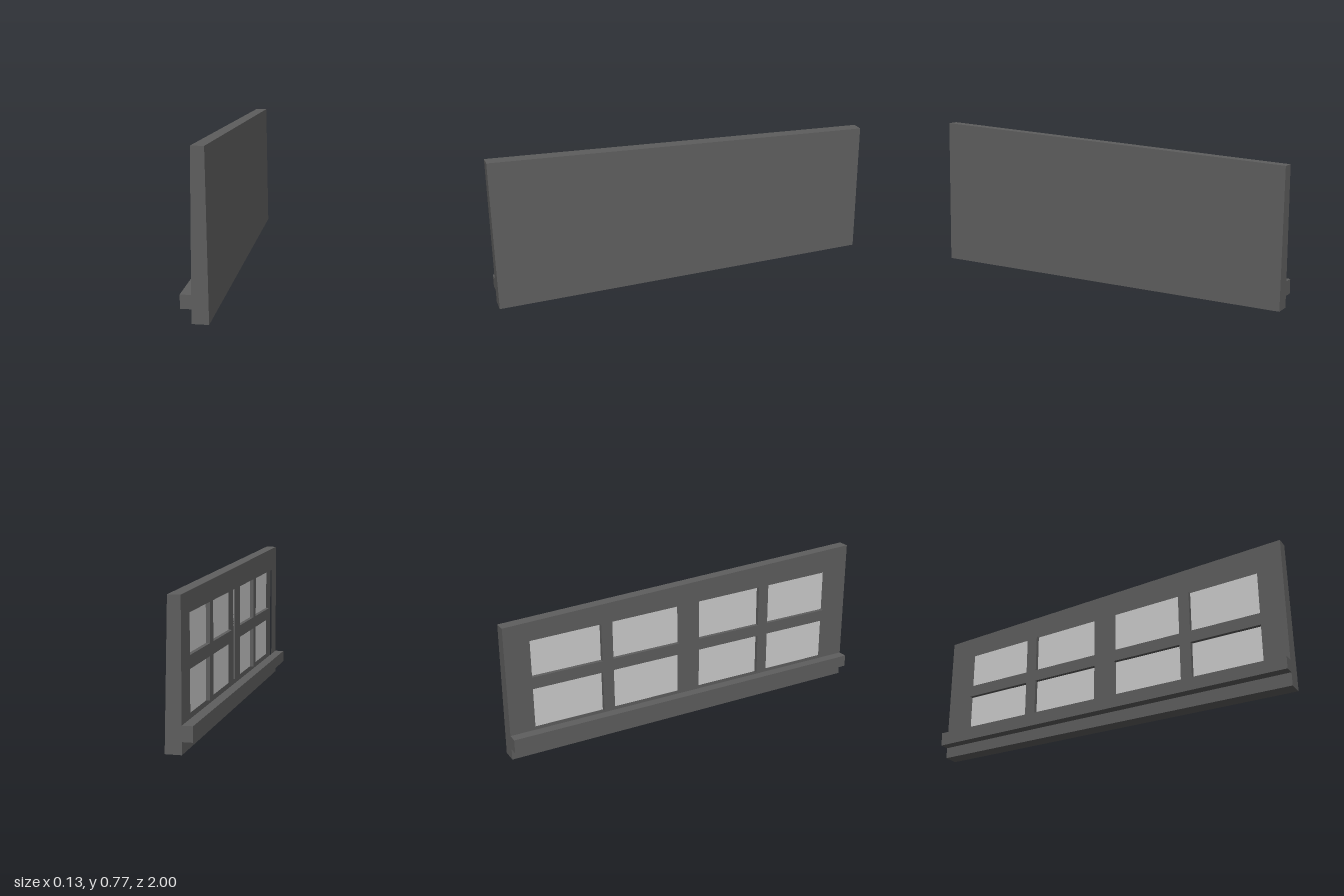
import * as THREE from 'three';

const FACE = -0.015;   // window side of the wall
const GLASS = 0.02;    // depth of the panes
const frameMat = new THREE.MeshStandardMaterial({ color: 0x5e5e5e, flatShading: true });
const glassMat = new THREE.MeshStandardMaterial({ color: 0xcccccc, flatShading: true });

const wallTop = z => 0.7325 + 0.0425 * z;
const windowTop = z => 0.622 + 0.025 * z;
const railMid = z => 0.378 + 0.005 * z;
const flat = y => () => y;

// Outline between two heights over a run of z (drawn with z reversed, then turned)
function outline(z0, z1, low, high, Type = THREE.Shape) {
  const pts = [[z0, low(z0)], [z1, low(z1)], [z1, high(z1)], [z0, high(z0)]];
  return new Type(pts.map(([z, y]) => new THREE.Vector2(-z, y)));
}

// Slab of an outline, spanning x0 to x1
function slab(name, shape, x0, x1, material) {
  const geo = new THREE.ExtrudeGeometry(shape, { depth: x1 - x0, bevelEnabled: false });
  geo.rotateY(Math.PI / 2);
  geo.translate(x0, 0, 0);
  const mesh = new THREE.Mesh(geo, material);
  mesh.name = name;
  return mesh;
}

export function createModel() {
  const group = new THREE.Group();
  group.name = 'windowWall';
  const windows = [[-0.87, -0.055], [0.055, 0.87]];

  // Solid outer skin, thinner toward the top
  const skin = slab('outerSkin', outline(-1, 1, flat(0), wallTop), GLASS, 0.0625, frameMat);
  const pos = skin.geometry.attributes.position;
  for (let i = 0; i < pos.count; i++) {
    if (pos.getX(i) > 0.05) {
      pos.setX(i, 0.0625 - 0.0175 * pos.getY(i) / wallTop(pos.getZ(i)));
    }
  }
  skin.geometry.computeVertexNormals();
  group.add(skin);

  // Frame with two window openings and a post between them
  const frame = outline(-1, 1, flat(0), wallTop);
  for (const [z0, z1] of windows) {
    frame.holes.push(outline(z0, z1, flat(0.13), windowTop, THREE.Path));
  }
  group.add(slab('frame', frame, FACE, GLASS, frameMat));

  // Panes and crossed glazing bars, set back from the frame
  for (const [z0, z1] of windows) {
    const mid = (z0 + z1) / 2;
    const barX = FACE + 0.013;
    group.add(
      slab('pane', outline(z0, z1, flat(0.13), windowTop), GLASS - 0.002, GLASS, glassMat),
      slab('uprightBar', outline(mid - 0.03, mid + 0.03, flat(0.13), windowTop), barX, GLASS, frameMat),
      slab('crossBar', outline(z0, z1, z => railMid(z) - 0.031, z => railMid(z) + 0.031), barX, GLASS, frameMat),
    );
  }

  // Sill running the full length, its underside slightly sloped
  group.add(slab('sill', outline(-1, 1, z => 0.062 + 0.004 * z, flat(0.13)), -0.065, FACE, frameMat));
  return group;
}
